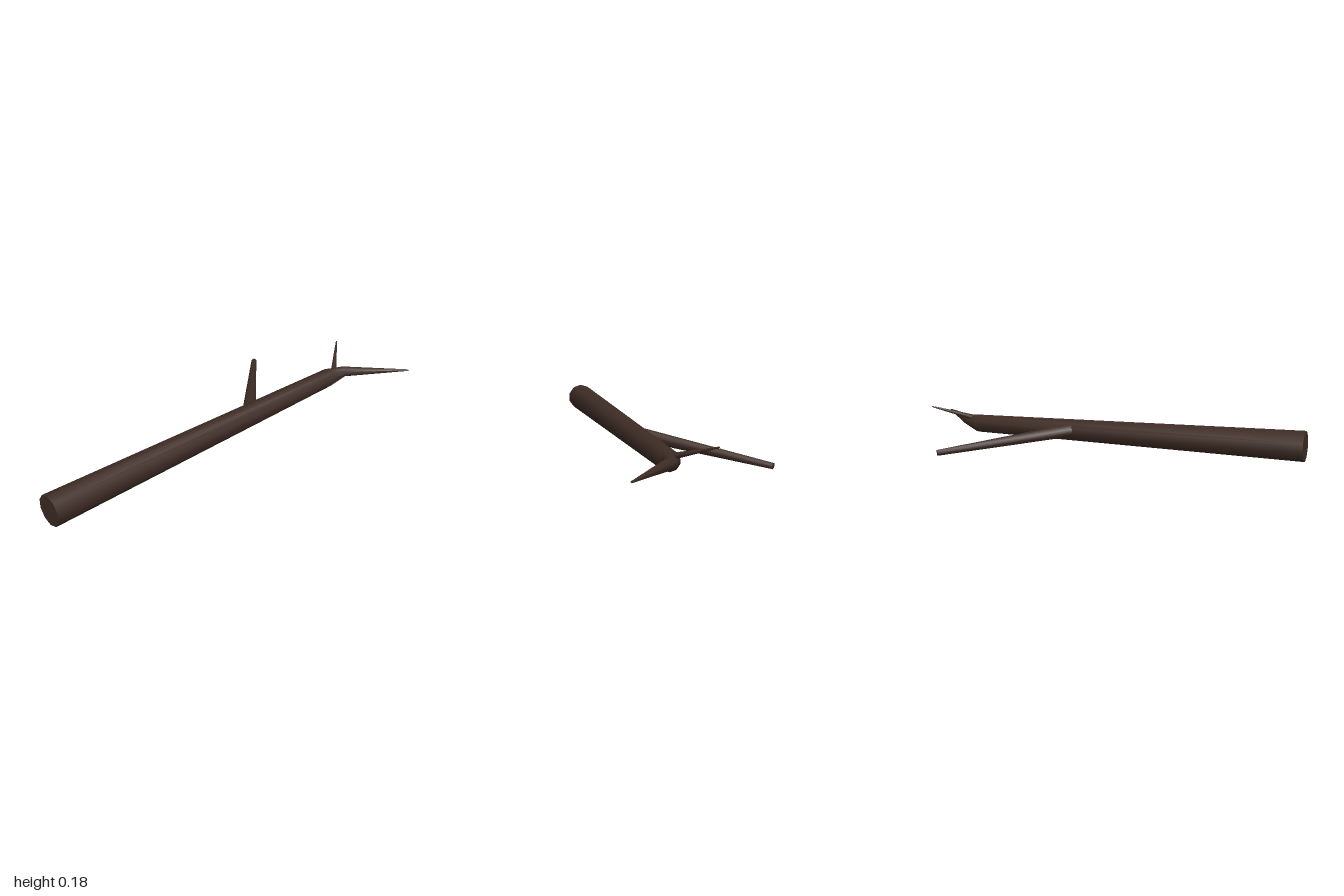
import * as THREE from 'three';
import { toCreasedNormals } from 'three/addons/utils/BufferGeometryUtils.js';

const bark = new THREE.MeshStandardMaterial({ color: 0x3f2d26, roughness: 1 });

// Tapered limb: a capped cylinder whose rings are moved onto stations [x, y, z, radius]
function limb(name, stations, sides) {
  const n = stations.length;
  const centres = stations.map(([x, y, z]) => new THREE.Vector3(x, y, z));
  const frames = centres.map((c, i) => {
    const t = new THREE.Vector3();
    if (i > 0) t.add(c.clone().sub(centres[i - 1]).normalize());
    if (i < n - 1) t.add(centres[i + 1].clone().sub(c).normalize());
    t.normalize();
    const u = new THREE.Vector3(0, 1, 0).cross(t).normalize();
    return { u, v: u.clone().cross(t) };
  });

  const geometry = new THREE.CylinderGeometry(1, 1, n - 1, sides, n - 1);
  const pos = geometry.attributes.position;
  const p = new THREE.Vector3();
  for (let k = 0; k < pos.count; k++) {
    const i = Math.round(pos.getY(k) + (n - 1) / 2);
    const r = stations[i][3];
    p.copy(centres[i])
      .addScaledVector(frames[i].u, pos.getX(k) * r)
      .addScaledVector(frames[i].v, pos.getZ(k) * r);
    pos.setXYZ(k, p.x, p.y, p.z);
  }
  const mesh = new THREE.Mesh(toCreasedNormals(geometry, Math.PI / 3), bark);
  mesh.name = name;
  return mesh;
}

export function createModel() {
  const group = new THREE.Group();
  group.name = 'fallenBranch';

  // Main stem, bending forward into a pointed end
  group.add(limb('stem', [
    [-1, 0.086, 0.122, 0.07],
    [0.66, 0.085, 0.116, 0.045],
    [0.752, 0.098, 0.143, 0.026],
    [0.998, 0.106, 0.365, 0.004],
  ], 10));

  // Long side branch with a blunt end
  group.add(limb('sideBranch', [
    [0.11, 0.09, 0.107, 0.033],
    [0.6, 0.016, -0.362, 0.014],
  ], 10));

  // Thin twig near the bend
  group.add(limb('twig', [
    [0.695, 0.112, 0.122, 0.014],
    [0.865, 0.177, -0.013, 0.003],
  ], 8));

  return group;
}
